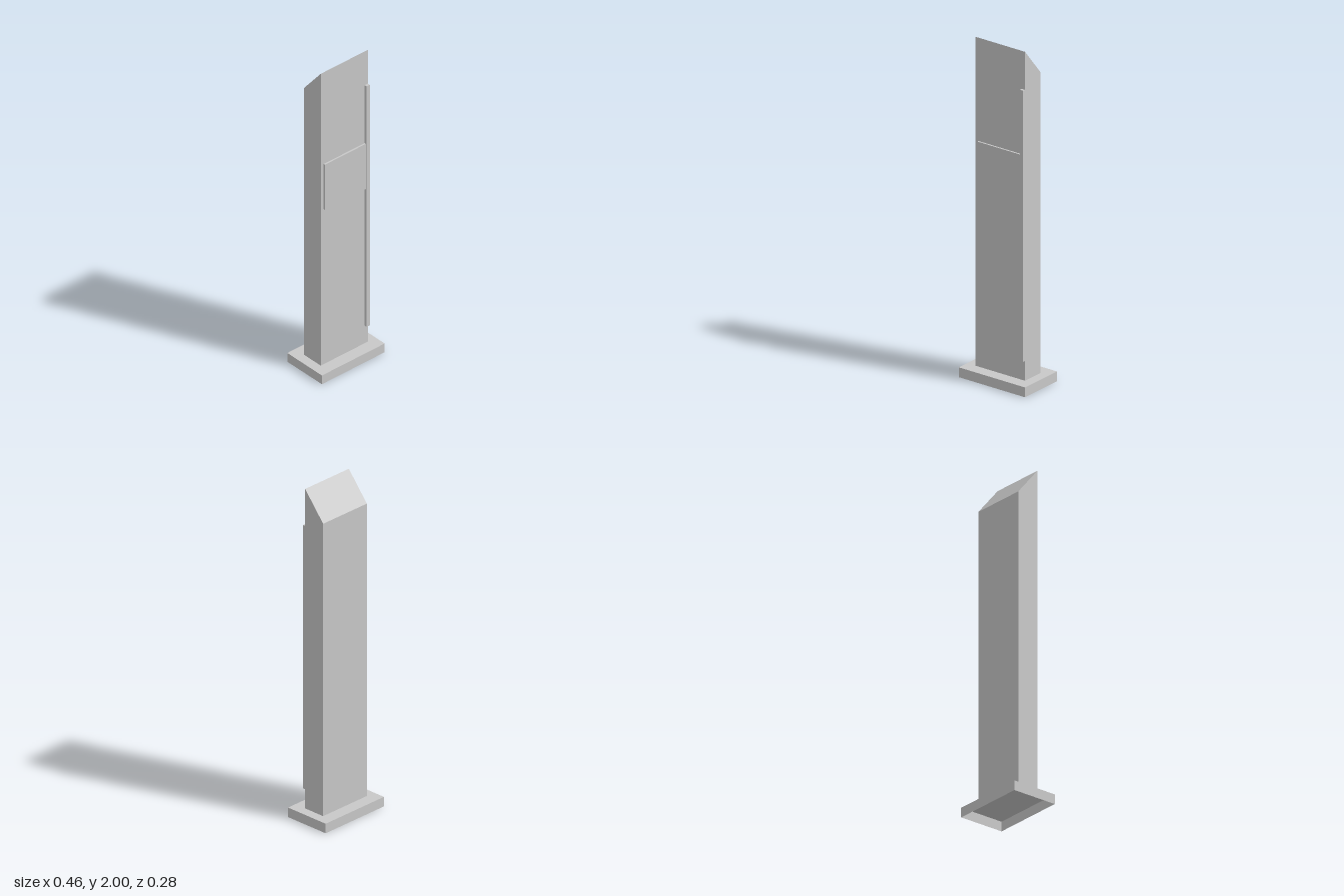
import * as THREE from 'three';

export function createModel() {
  const group = new THREE.Group();
  const grey = new THREE.MeshStandardMaterial({ color: 0xc8c8c8, side: THREE.DoubleSide });
  grey.name = 'light grey metal';

  const add = (name, geometry) => {
    const mesh = new THREE.Mesh(geometry, grey);
    mesh.name = name;
    group.add(mesh);
    return mesh;
  };

  // Box given by its minimum and maximum corners
  const box = (x0, x1, y0, y1, z0, z1) =>
    new THREE.BoxGeometry(x1 - x0, y1 - y0, z1 - z0)
      .translate((x0 + x1) / 2, (y0 + y1) / 2, (z0 + z1) / 2);

  // Base plinth: a hollow tray, open underneath (bottom face removed)
  const base = box(-0.228, 0.228, 0, 0.058, -0.142, 0.142);
  const index = Array.from(base.index.array);
  index.splice(18, 6);
  base.setIndex(index);
  base.clearGroups();
  add('base', base);

  // Pillar: side profile with a top sloping down to the back
  const front = 0.068, back = -0.068, width = 0.342;
  const profile = new THREE.Shape([
    new THREE.Vector2(-front, 0.058),
    new THREE.Vector2(-back, 0.058),
    new THREE.Vector2(-back, 1.835),
    new THREE.Vector2(-front, 2),
  ]);
  const pillar = new THREE.ExtrudeGeometry(profile, { depth: width, bevelEnabled: false });
  pillar.translate(0, 0, -width / 2).rotateY(Math.PI / 2);
  add('pillar', pillar);

  // Raised trim along the left front edge, and the sign panel joined to it
  add('edgeTrim', box(0.148, 0.171, 0.175, 1.775, front, 0.084));
  add('signPanel', box(-0.15, 0.148, 1.09, 1.39, front, 0.078));

  return group;
}
